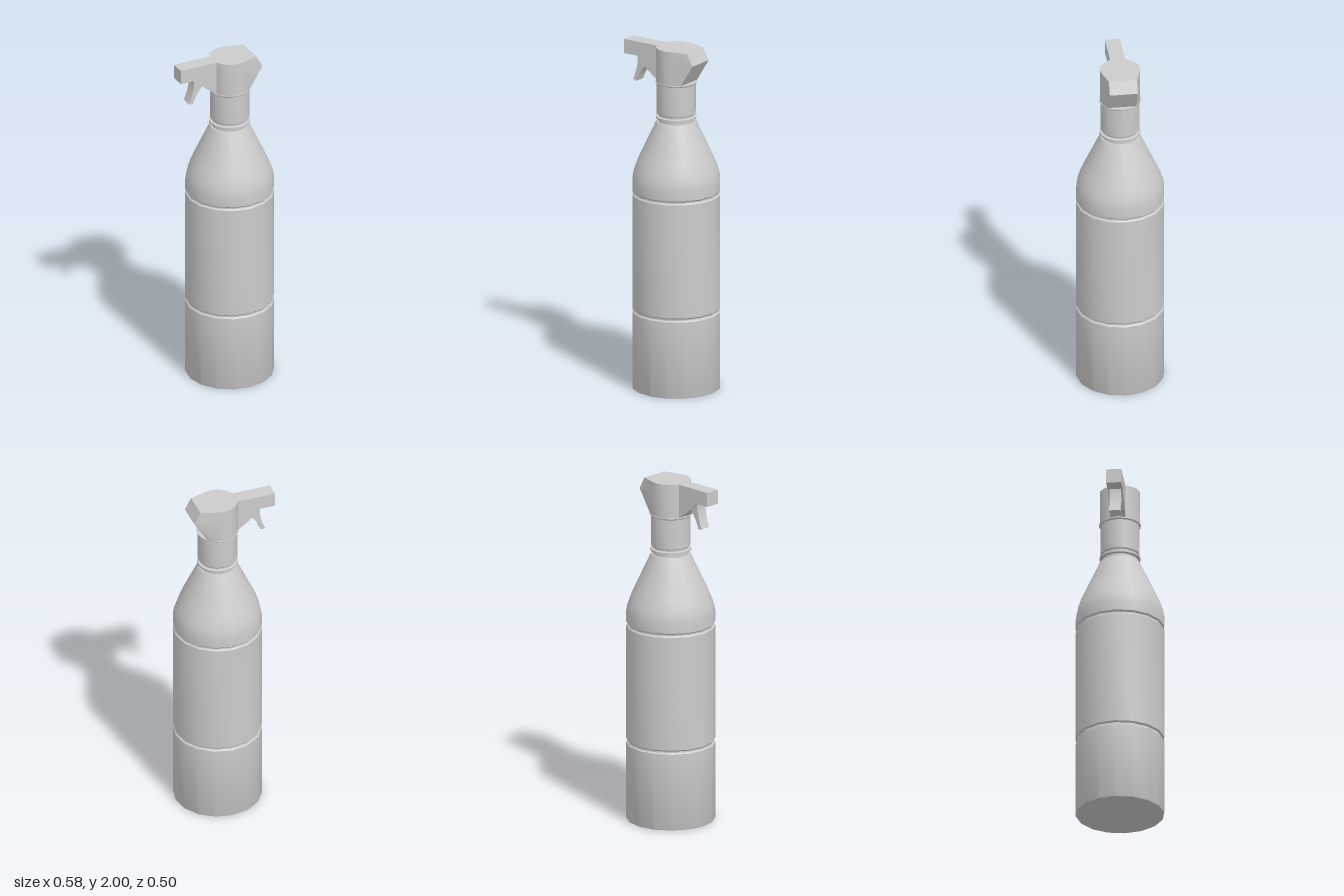
import * as THREE from 'three';
import { toCreasedNormals } from 'three/addons/utils/BufferGeometryUtils.js';

const AXIS = 0.038; // x of the bottle's axis
const SIDES = 16;

export function createModel() {
  const group = new THREE.Group();
  const material = new THREE.MeshStandardMaterial({ color: 0xcccccc });

  const add = (name, geometry, x = 0) => {
    const mesh = new THREE.Mesh(toCreasedNormals(geometry, 0.5), material);
    mesh.name = name;
    mesh.position.x = x;
    group.add(mesh);
  };
  const lathe = (name, profile) => add(name,
    new THREE.LatheGeometry(profile.map(([r, y]) => new THREE.Vector2(r, y)), SIDES), AXIS);
  // Side profile extruded symmetrically about z = 0
  const slab = (name, shape, width) => add(name,
    new THREE.ExtrudeGeometry(shape, { depth: width, bevelEnabled: false, curveSegments: 6 })
      .translate(0, 0, -width / 2));

  // Bottle with two grooves round the label band and a sloping shoulder
  const R = 0.252;
  const groove = y => [[R, y - 0.012], [R - 0.008, y - 0.004], [R - 0.008, y + 0.004], [R, y + 0.012]];
  lathe('bottle', [
    [0, 0], [R - 0.002, 0], [R, 0.004], ...groove(0.46), ...groove(1.15),
    [R, 1.225], [0.246, 1.26], [0.233, 1.3], [0.215, 1.345],
    [0.118, 1.555], [0.112, 1.567], [0, 1.567],
  ]);

  // Threaded neck with one ring
  lathe('neck', [
    [0.102, 1.56], [0.102, 1.583], [0.117, 1.586], [0.117, 1.598], [0.102, 1.601], [0.102, 1.62],
  ]);

  // Collar with a thin lip at the top
  lathe('collar', [
    [0, 1.612], [0.109, 1.612], [0.112, 1.617], [0.112, 1.79], [0.119, 1.796], [0.119, 1.802], [0, 1.802],
  ]);

  // Head: round at the front, tapering to a flat back that juts out at mid height
  const r = 0.115;
  const arc = [];
  for (let i = 3; i <= 13; i++) {
    const a = i * Math.PI / 8;
    arc.push([AXIS + r * Math.cos(a), r * Math.sin(a)]);
  }
  const levels = [[1.8, 0.125], [1.93, 0.205], [2, 0.168]];
  const rings = levels.map(([y, back]) =>
    [...arc, [back, -0.08], [back, 0.08]].map(([x, z]) => [x, y, z]));
  const pos = [];
  const tri = (a, b, c) => pos.push(...a, ...b, ...c);
  const n = rings[0].length;
  for (let i = 0; i < n; i++) {
    const j = (i + 1) % n;
    for (let k = 0; k < 2; k++) {
      const [a, b, c, d] = [rings[k][i], rings[k][j], rings[k + 1][j], rings[k + 1][i]];
      tri(a, d, c);
      tri(a, c, b);
    }
    tri([AXIS, 2, 0], rings[2][j], rings[2][i]);
    tri([AXIS, 1.8, 0], rings[0][i], rings[0][j]);
  }
  const head = new THREE.BufferGeometry();
  head.setAttribute('position', new THREE.Float32BufferAttribute(pos, 3));
  add('sprayHead', head);

  // Nozzle arm with a curved underside
  const arm = new THREE.Shape();
  arm.moveTo(-0.293, 2);
  arm.lineTo(-0.293, 1.917);
  arm.lineTo(-0.205, 1.917);
  arm.quadraticCurveTo(-0.168, 1.87, -0.068, 1.802);
  arm.lineTo(-0.06, 1.802);
  arm.lineTo(-0.06, 2);
  slab('nozzleArm', arm, 0.086);

  // Trigger hanging under the arm
  const trigger = new THREE.Shape();
  trigger.moveTo(-0.205, 1.925);
  trigger.quadraticCurveTo(-0.2, 1.85, -0.237, 1.77);
  trigger.lineTo(-0.212, 1.765);
  trigger.quadraticCurveTo(-0.19, 1.83, -0.15, 1.866);
  trigger.lineTo(-0.15, 1.925);
  slab('trigger', trigger, 0.064);

  return group;
}
